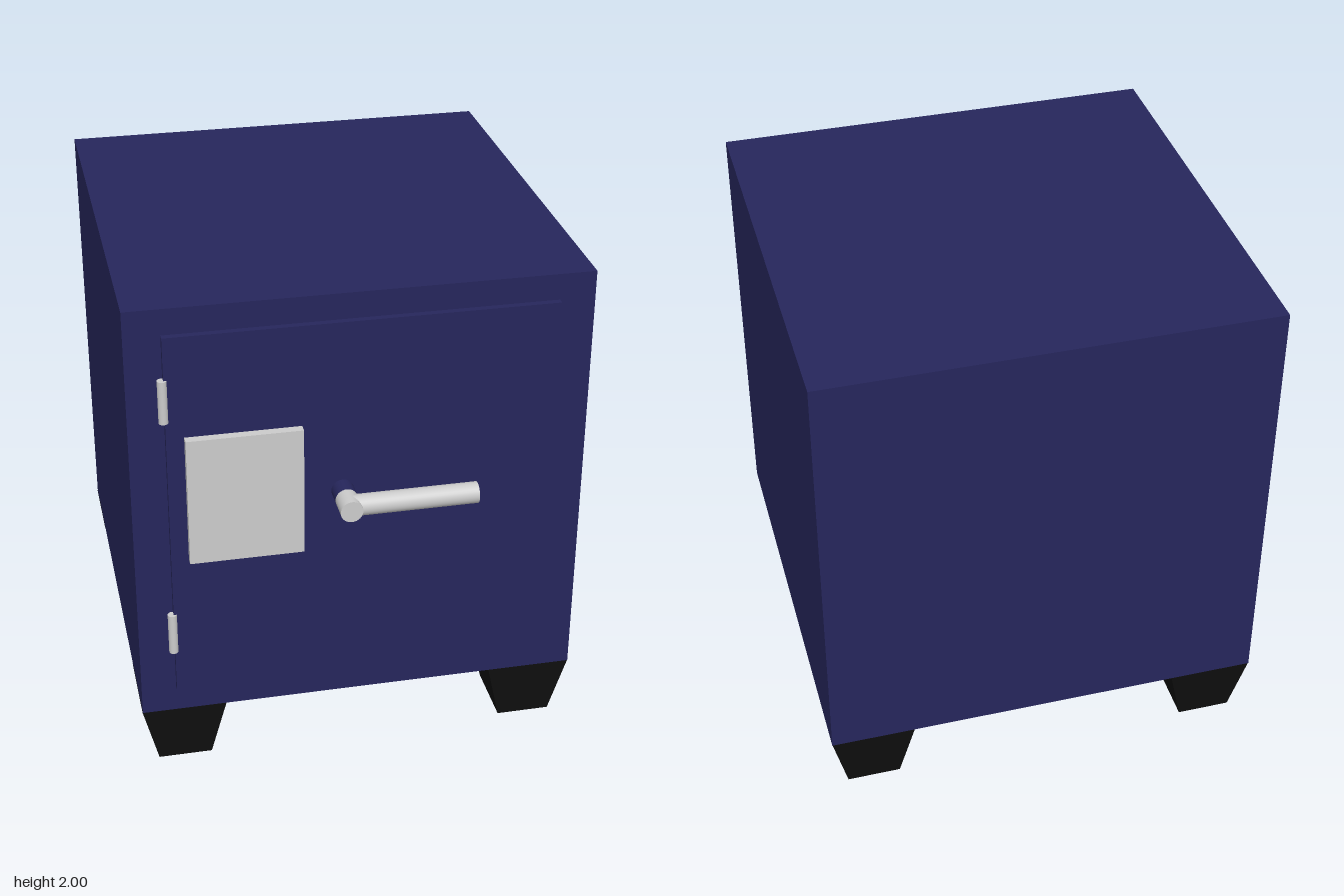
import * as THREE from 'three';

export function createModel() {
  const safe = new THREE.Group();
  safe.name = 'safe';
  const navy = new THREE.MeshStandardMaterial({ color: 0x26265c });
  const black = new THREE.MeshStandardMaterial({ color: 0x0f0f0f });
  const grey = new THREE.MeshStandardMaterial({ color: 0xcccccc });

  const add = (name, geometry, material, parent = safe) => {
    const mesh = new THREE.Mesh(geometry, material);
    mesh.name = name;
    parent.add(mesh);
    return mesh;
  };

  // Box given by its extents on each axis
  const block = (name, [x0, x1], [y0, y1], [z0, z1], material) =>
    add(name, new THREE.BoxGeometry(x1 - x0, y1 - y0, z1 - z0)
      .translate((x0 + x1) / 2, (y0 + y1) / 2, (z0 + z1) / 2), material);

  block('body', [-0.873, 0.873], [0.255, 2], [-0.97, 0.775], navy);
  block('door', [-0.737, 0.737], [0.365, 1.897], [0.77, 0.8], navy);
  block('keypad', [-0.67, -0.233], [0.965, 1.49], [0.795, 0.835], grey);

  // Hinge pins on the door edge
  for (const [name, y] of [['upperHinge', 1.642], ['lowerHinge', 0.634]]) {
    add(name, new THREE.CylinderGeometry(0.018, 0.018, 0.172, 24), grey)
      .position.set(-0.742, y, 0.795);
  }

  // Lever handle: spindle out of the door, hub, and sideways bar
  const handle = new THREE.Group();
  handle.name = 'handle';
  handle.position.set(-0.08, 1.2, 0);
  safe.add(handle);
  const rod = (name, z0, z1, material) =>
    add(name, new THREE.CylinderGeometry(0.043, 0.043, z1 - z0, 32)
      .rotateX(Math.PI / 2).translate(0, 0, (z0 + z1) / 2), material, handle);
  rod('handleSpindle', 0.79, 0.873, navy);
  rod('handleHub', 0.873, 0.967, grey);
  add('handleBar', new THREE.CylinderGeometry(0.041, 0.041, 0.49, 32)
    .rotateZ(Math.PI / 2).translate(0.245, 0, 0.92), grey, handle);

  // Tapered feet: a box whose lower corners are drawn inwards
  const footGeometry = new THREE.BoxGeometry(0.335, 0.256, 0.333).translate(0, 0.128, 0);
  const p = footGeometry.attributes.position;
  for (let i = 0; i < p.count; i++) {
    if (p.getY(i) < 0.01) {
      p.setX(i, p.getX(i) * 0.635);
      p.setZ(i, p.getZ(i) * 0.8);
    }
  }
  footGeometry.computeVertexNormals();
  for (const [xName, x] of [['Left', 0.705], ['Right', -0.707]]) {
    for (const [zName, z] of [['front', 0.608], ['back', -0.8]]) {
      add(zName + xName + 'Foot', footGeometry, black).position.set(x, 0, z);
    }
  }
  return safe;
}
